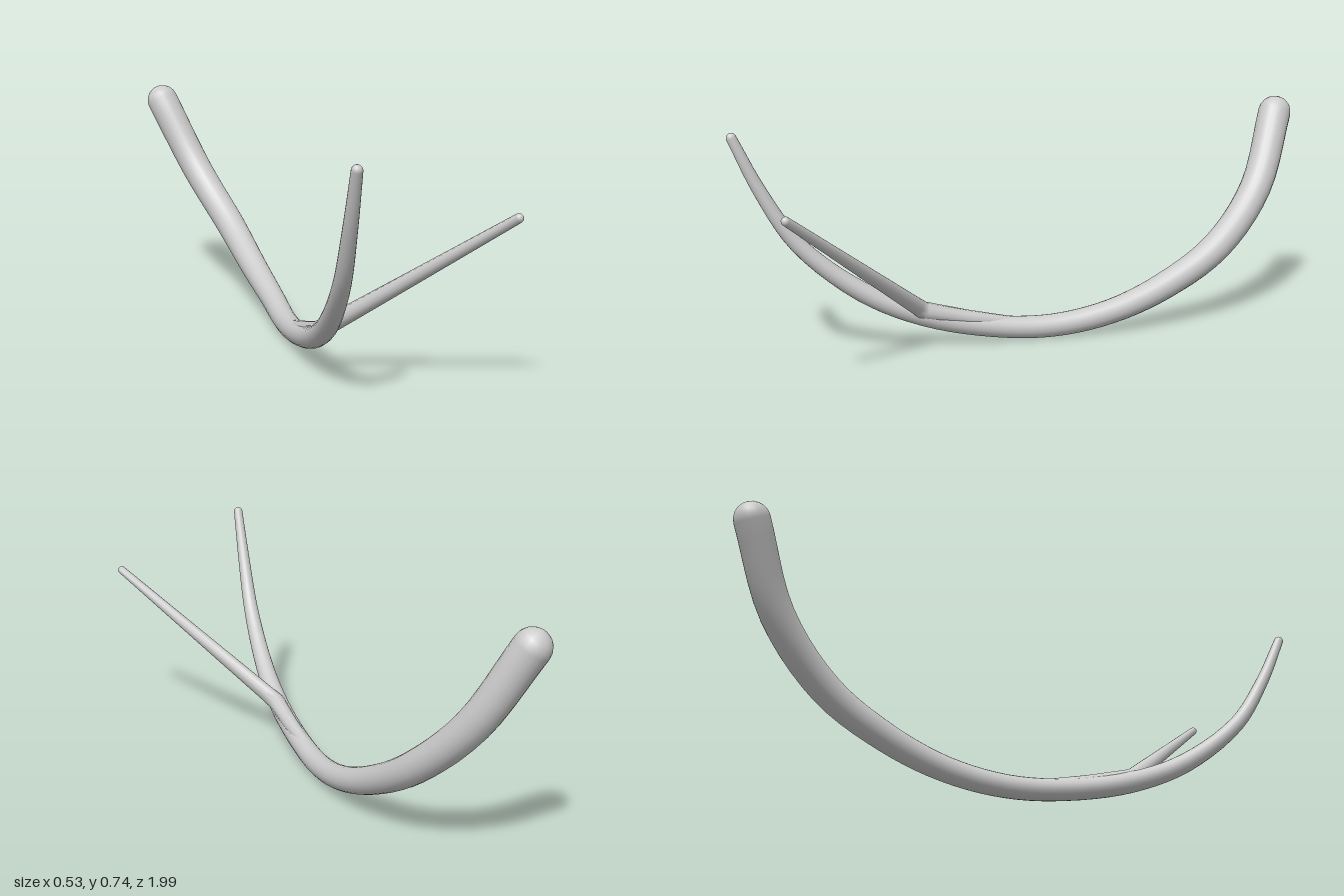
import * as THREE from 'three';

// Sweeps a round section along stations [x, y, z, radius], with domed ends.
function limb(name, stations, sides, material) {
  const pts = stations.map(([x, y, z]) => new THREE.Vector3(x, y, z));
  const n = pts.length;
  const tangents = pts.map((p, i) => {
    const t = new THREE.Vector3();
    if (i > 0) t.add(p.clone().sub(pts[i - 1]).normalize());
    if (i < n - 1) t.add(pts[i + 1].clone().sub(p).normalize());
    return t.normalize();
  });
  const rings = [];
  const dome = 5;
  const addDome = (i, sign) => {
    const r = stations[i][3];
    for (let k = 1; k <= dome; k++) {
      const a = (k / dome) * Math.PI / 2;
      const ring = {
        p: pts[i].clone().addScaledVector(tangents[i], sign * r * Math.sin(a)),
        t: tangents[i], r: Math.max(r * Math.cos(a), 1e-4),
      };
      if (sign < 0) rings.unshift(ring); else rings.push(ring);
    }
  };
  pts.forEach((p, i) => rings.push({ p, t: tangents[i], r: stations[i][3] }));
  addDome(0, -1);
  addDome(n - 1, 1);

  // Each ring's frame is carried on from the ring before it
  const positions = [], index = [];
  const side = new THREE.Vector3(1, 0, 0);
  rings.forEach(({ p, t, r }, i) => {
    side.addScaledVector(t, -side.dot(t)).normalize();
    const up = new THREE.Vector3().crossVectors(t, side);
    for (let j = 0; j < sides; j++) {
      const a = (j / sides) * Math.PI * 2;
      const v = p.clone().addScaledVector(side, r * Math.cos(a)).addScaledVector(up, r * Math.sin(a));
      positions.push(v.x, v.y, v.z);
      if (i === 0) continue;
      const k = (j + 1) % sides, b = i * sides, c = b - sides;
      index.push(c + j, c + k, b + j, c + k, b + k, b + j);
    }
  });
  const geometry = new THREE.BufferGeometry();
  geometry.setAttribute('position', new THREE.Float32BufferAttribute(positions, 3));
  geometry.setIndex(index);
  geometry.computeVertexNormals();
  const mesh = new THREE.Mesh(geometry, material);
  mesh.name = name;
  return mesh;
}

// Smooths stations, positions and radii alike, through a spline
function smooth(stations, count) {
  const curve = new THREE.CatmullRomCurve3(stations.map(([x, y, z]) => new THREE.Vector3(x, y, z)));
  const last = stations.length - 1;
  return Array.from({ length: count + 1 }, (_, i) => {
    const u = i / count, s = Math.min(Math.floor(u * last), last - 1);
    const r = THREE.MathUtils.lerp(stations[s][3], stations[s + 1][3], u * last - s);
    return [...curve.getPoint(u).toArray(), r];
  });
}

export function createModel() {
  const group = new THREE.Group();
  group.name = 'forkedBranch';
  const material = new THREE.MeshStandardMaterial({ color: 0xcccccc });

  // Main stem, from the thick back end to the thin front tip
  const stem = [
    [-0.09, 0.683, -0.94, 0.057],
    [-0.005, 0.435, -0.805, 0.054],
    [0.048, 0.255, -0.61, 0.051],
    [0.05, 0.142, -0.4, 0.046],
    [0.034, 0.074, -0.2, 0.041],
    [-0.005, 0.043, 0, 0.038],
    [-0.05, 0.056, 0.2, 0.036],
    [-0.1, 0.109, 0.42, 0.035],
    [-0.147, 0.2, 0.61, 0.032],
    [-0.2, 0.365, 0.8, 0.026],
    [-0.23, 0.54, 0.905, 0.021],
    [-0.25, 0.708, 0.98, 0.016],
  ];
  group.add(limb('mainStem', smooth(stem, 55), 20, material));

  // Side twig, leaving the stem at a sharp bend
  const twig = [
    [-0.035, 0.06, 0.13, 0.022],
    [-0.06, 0.092, 0.28, 0.026],
    [-0.088, 0.128, 0.425, 0.03],
    [-0.068, 0.153, 0.458, 0.028],
    [0.09, 0.348, 0.715, 0.021],
    [0.247, 0.543, 0.972, 0.014],
  ];
  group.add(limb('sideTwig', twig, 10, material));
  return group;
}
